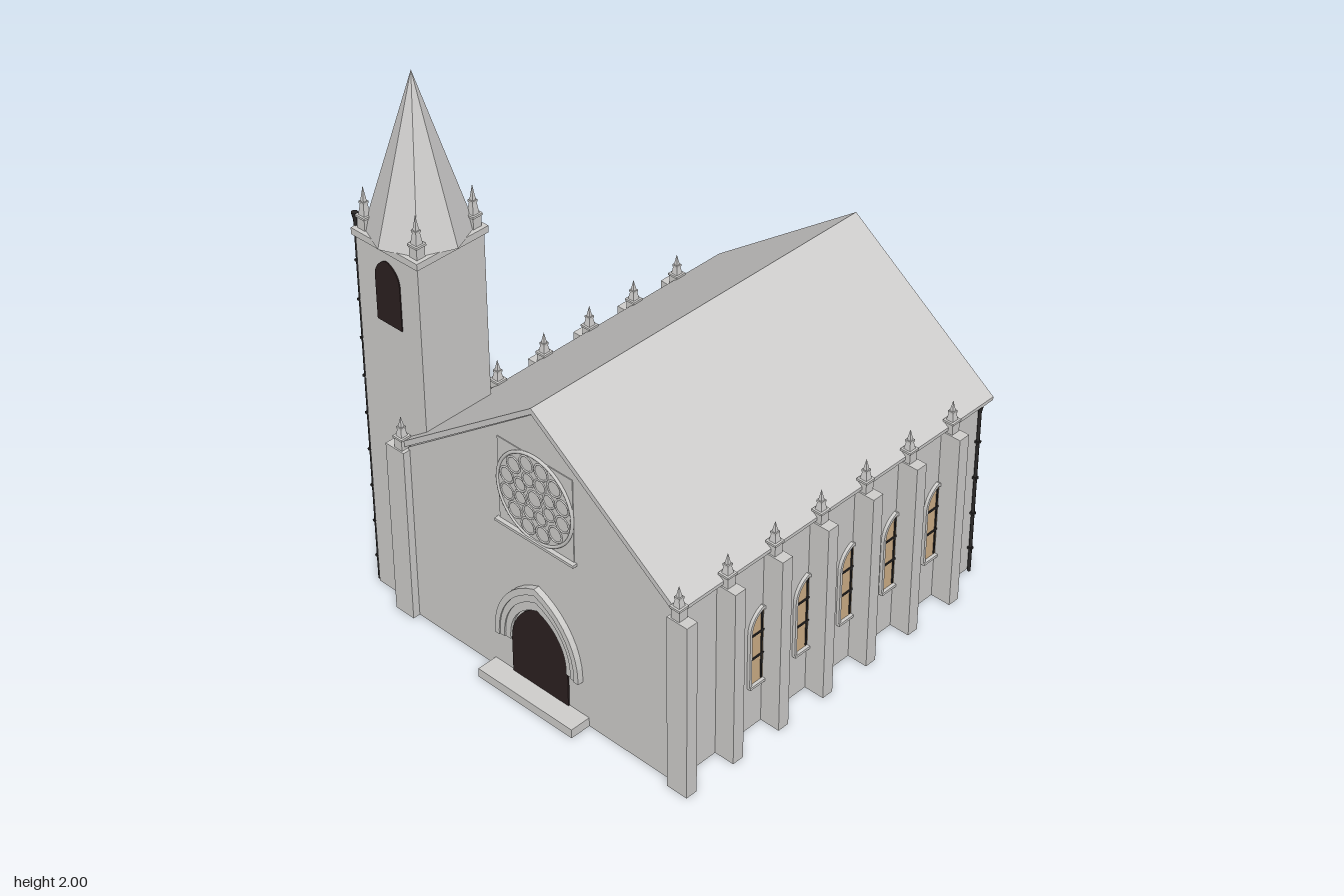
import * as THREE from 'three';

const stone = new THREE.MeshStandardMaterial({ name: 'stone', color: 0xcfcecc });
const roofGrey = new THREE.MeshStandardMaterial({ name: 'roof grey', color: 0xcecdcc });
const spireGrey = new THREE.MeshStandardMaterial({ name: 'spire grey', color: 0xcecdcc, flatShading: true });
const dark = new THREE.MeshStandardMaterial({ name: 'dark opening', color: 0x2c2020 });
const iron = new THREE.MeshStandardMaterial({ name: 'iron', color: 0x2a2828 });
const amber = new THREE.MeshStandardMaterial({ name: 'amber glass', color: 0xd0b088 });

const CX = 0.085; // nave centre line
const TX = -0.587, TZ = 0.535; // tower centre

function add(parent, name, geo, mat, x = 0, y = 0, z = 0) {
  const m = new THREE.Mesh(geo, mat);
  m.name = name;
  m.position.set(x, y, z);
  parent.add(m);
  return m;
}
const box = (w, h, d) => new THREE.BoxGeometry(w, h, d);
const extrude = (shape, depth) =>
  new THREE.ExtrudeGeometry(shape, { depth, bevelEnabled: false, curveSegments: 12 });
const poly = pts => new THREE.Shape(pts.map(p => new THREE.Vector2(p[0], p[1])));

// Outline of a pointed arch, from bottom left over the apex to bottom right
function archPoints(w, base, spring, apex) {
  const h = apex - spring, R = (w * w + h * h) / (2 * w), end = Math.atan2(h, w - R);
  const left = [[-w, base]], n = 9;
  for (let i = 0; i <= n; i++) {
    const a = Math.PI + (end - Math.PI) * i / n;
    left.push([R - w + R * Math.cos(a), spring + R * Math.sin(a)]);
  }
  const right = left.slice(0, -1).reverse().map(([x, y]) => [-x, y]);
  return [...left, ...right];
}
const archPlate = (w, base, spring, apex, d = 0.006) => extrude(poly(archPoints(w, base, spring, apex)), d);
// Band between two arches
const archBand = (o, i, d) => extrude(poly([...archPoints(...o), ...archPoints(...i).reverse()]), d);

function pinnacle(parent, x, y, z, h) {
  const g = new THREE.Group();
  g.name = 'pinnacle';
  g.position.set(x, y, z);
  add(g, 'pinnacleBase', box(0.035, 0.045, 0.035), stone, 0, 0.0225, 0);
  add(g, 'pinnacleCap', box(0.042, 0.008, 0.042), stone, 0, 0.045, 0);
  const c = add(g, 'pinnacleSpike', new THREE.ConeGeometry(0.02, h - 0.045, 4), spireGrey, 0, (h + 0.045) / 2, 0);
  c.rotation.y = Math.PI / 4;
  add(g, 'pinnacleCollar', box(0.022, 0.008, 0.022), stone, 0, 0.045 + (h - 0.045) * 0.45, 0);
  parent.add(g);
}

function drainPipe(parent, x, z, top) {
  const g = new THREE.Group();
  g.name = 'drainPipe';
  g.position.set(x, 0, z);
  add(g, 'pipe', new THREE.CylinderGeometry(0.006, 0.006, top, 8), iron, 0, top / 2, 0);
  add(g, 'hopper', new THREE.CylinderGeometry(0.012, 0.007, 0.025, 8), iron, 0, top - 0.012, 0);
  for (let y = 0.1; y < top - 0.05; y += 0.15) add(g, 'bracket', box(0.016, 0.008, 0.016), iron, 0, y, 0);
  parent.add(g);
}

// Arched side window facing +z before it is turned
function sideWindow() {
  const g = new THREE.Group();
  g.name = 'sideWindow';
  add(g, 'glass', archPlate(0.05, 0.185, 0.4, 0.475, 0.004), amber);
  add(g, 'windowFrame', archBand([0.06, 0.18, 0.4, 0.488], [0.05, 0.18, 0.4, 0.475], 0.012), stone);
  add(g, 'sill', box(0.12, 0.01, 0.016), stone, 0, 0.18, 0.008);
  for (const y of [0.29, 0.385]) add(g, 'crossBar', box(0.1, 0.007, 0.005), iron, 0, y, 0.005);
  add(g, 'mullion', box(0.006, 0.28, 0.005), iron, 0, 0.33, 0.005);
  return g;
}

function buildNave() {
  const g = new THREE.Group();
  g.name = 'nave';
  g.position.x = CX;
  const half = 0.592;
  add(g, 'naveWalls', extrude(poly([[-half, 0], [half, 0], [half, 0.7], [0, 1.135], [-half, 0.7]]), 1.465), stone, 0, 0, -0.76);
  add(g, 'roof', extrude(poly([[-0.615, 0.702], [-0.605, 0.698], [0, 1.14], [0.605, 0.698], [0.615, 0.702],
    [0.615, 0.715], [0, 1.163], [-0.615, 0.715]]), 1.508), roofGrey, 0, 0, -0.792);

  for (const s of [-1, 1]) {
    // Buttresses with pinnacles; the tower replaces one on its side
    for (let i = 0; i < 7; i++) {
      const z = 0.71 - i * 0.2145;
      if (s < 0 && i === 1) continue;
      add(g, 'buttress', box(0.085, 0.692, 0.046), stone, s * 0.6275, 0.346, z);
      pinnacle(g, s * 0.615, 0.69, z, 0.125);
    }
    for (let i = 0; i < 5; i++) {
      const w = sideWindow();
      w.rotation.y = s * Math.PI / 2;
      w.position.set(s * half, 0, 0.313 - i * 0.2145);
      g.add(w);
    }
    drainPipe(g, s * (half + 0.01), -0.742, 0.7);
  }
  drainPipe(g, half + 0.01, 0.675, 0.7);
  return g;
}

function buildPortal() {
  const g = new THREE.Group();
  g.name = 'portal';
  g.position.set(CX, 0, 0.705);
  add(g, 'frontDoorway', archPlate(0.127, 0.0, 0.17, 0.362), dark);
  // Nested arch mouldings stepping outwards
  const rings = [[0.19, 0.458], [0.17, 0.43], [0.15, 0.398], [0.127, 0.362]];
  for (let i = 0; i < 3; i++) {
    const [o, i2] = [rings[i], rings[i + 1]];
    add(g, 'archMoulding', archBand([o[0], 0.172, 0.19, o[1]], [i2[0], 0.172, 0.19, i2[1]], 0.022 - i * 0.005), stone);
  }
  add(g, 'doorStep', box(0.43, 0.035, 0.08), stone, 0, 0.0175, 0.04);
  return g;
}

function buildRoseWindow() {
  const g = new THREE.Group();
  g.name = 'roseWindow';
  g.position.set(CX, 0.81, 0.705);
  add(g, 'rosePanel', box(0.33, 0.32, 0.004), stone, 0, 0, 0.001);
  const disc = add(g, 'roseDisc', new THREE.CylinderGeometry(0.165, 0.165, 0.008, 40), stone, 0, 0, 0.003);
  disc.rotation.x = Math.PI / 2;
  add(g, 'roseRim', new THREE.TorusGeometry(0.165, 0.006, 8, 48), stone, 0, 0, 0.006);
  // Tracery: centre ring and two rounds of petals
  add(g, 'centreRing', new THREE.TorusGeometry(0.03, 0.004, 6, 20), stone, 0, 0, 0.006);
  for (const [n, r, size] of [[8, 0.068, 0.025], [12, 0.126, 0.029]])
    for (let i = 0; i < n; i++) {
      const a = (i + 0.5) / n * Math.PI * 2;
      add(g, 'petalRing', new THREE.TorusGeometry(size, 0.004, 6, 16), stone, r * Math.cos(a), r * Math.sin(a), 0.006);
    }
  add(g, 'roseSill', box(0.35, 0.01, 0.02), stone, 0, -0.166, 0.008);
  return g;
}

function buildTower() {
  const g = new THREE.Group();
  g.name = 'tower';
  g.position.set(TX, 0, TZ);
  add(g, 'towerShaft', box(0.285, 1.412, 0.285), stone, 0, 0.706, 0);
  add(g, 'cornice', box(0.305, 0.025, 0.305), stone, 0, 1.42, 0);
  add(g, 'spire', new THREE.ConeGeometry(0.176, 0.57, 8), spireGrey, 0, 1.715, 0);
  for (const sx of [-1, 1]) for (const sz of [-1, 1]) pinnacle(g, sx * 0.12, 1.432, sz * 0.12, 0.155);
  // Belfry openings on the front and back faces
  for (const a of [0, Math.PI]) {
    const w = add(g, 'belfryOpening', archPlate(0.057, 1.13, 1.295, 1.37, 0.004), dark, 0, 0, 0.1425 * Math.cos(a));
    w.rotation.y = a;
  }
  drainPipe(g, -0.153, 0.132, 1.48);
  return g;
}

export function createModel() {
  const model = new THREE.Group();
  model.name = 'church';
  model.add(buildNave(), buildPortal(), buildRoseWindow(), buildTower());
  const back = add(model, 'backDoorway', archPlate(0.127, 0, 0.17, 0.362), dark, CX, 0, -0.76);
  back.rotation.y = Math.PI;
  return model;
}
